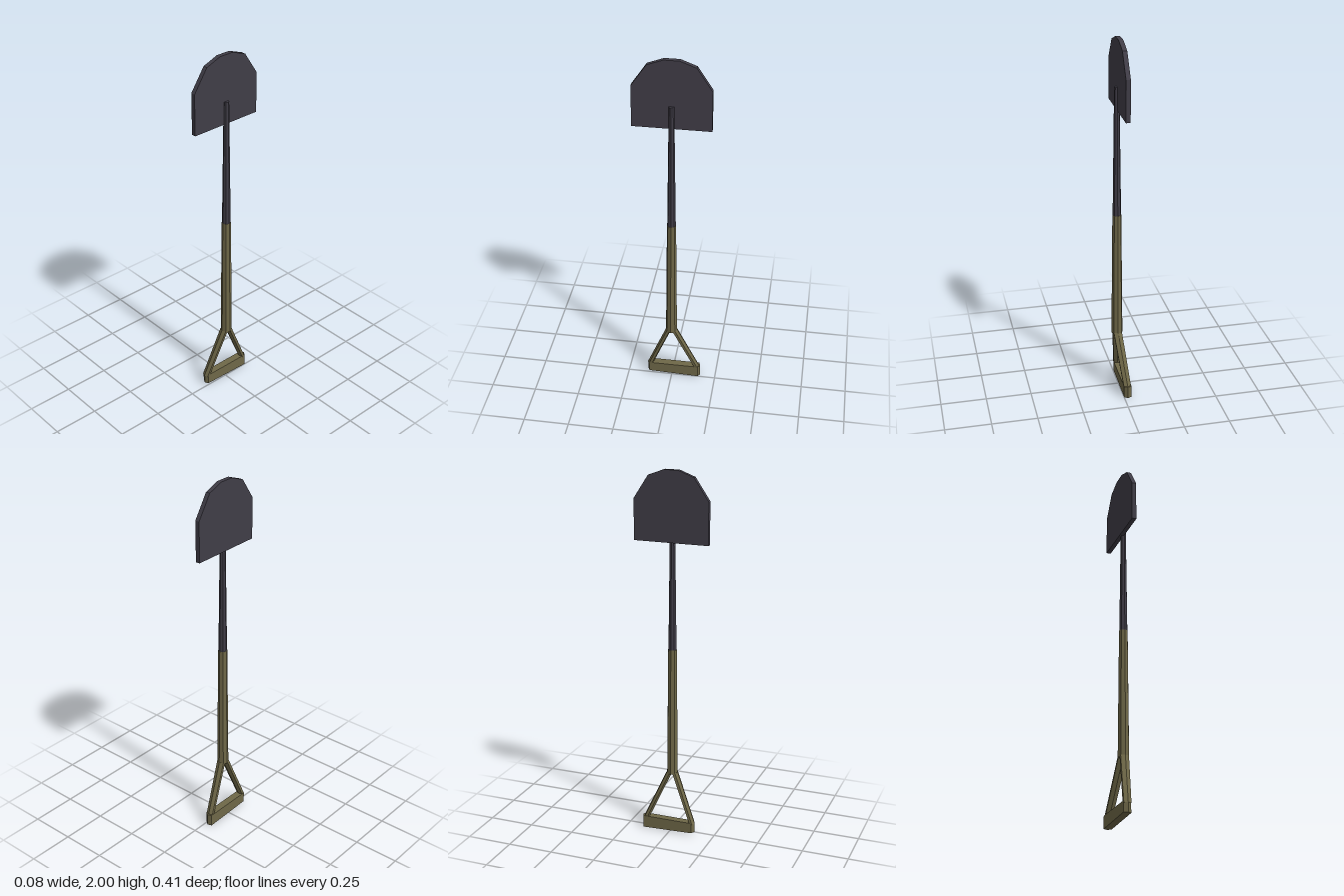
import * as THREE from 'three';

const wood = new THREE.MeshStandardMaterial({ color: 0x6f6848, flatShading: true });
const metal = new THREE.MeshStandardMaterial({ color: 0x403d47, flatShading: true });
const AXIS_X = 0.008; // the shaft sits slightly off centre

function part(name, geometry, material) {
  const mesh = new THREE.Mesh(geometry, material);
  mesh.name = name;
  return mesh;
}

// Tapered eight-sided pole between two heights
function pole(name, y0, y1, r0, r1, material) {
  const g = new THREE.CylinderGeometry(r1, r0, y1 - y0, 8);
  g.translate(AXIS_X, (y0 + y1) / 2, 0);
  return part(name, g, material);
}

function extrude(points, depth) {
  const shape = new THREE.Shape(points.map(([x, y]) => new THREE.Vector2(x, y)));
  return new THREE.ExtrudeGeometry(shape, { depth, bevelEnabled: false });
}

// Slanted six-sided bar whose horizontal end rings are placed and sized separately
function arm(name, bottom, top) {
  const g = new THREE.CylinderGeometry(1, 1, 1, 6);
  const p = g.attributes.position;
  for (let i = 0; i < p.count; i++) {
    const e = p.getY(i) > 0 ? top : bottom;
    p.setXYZ(i, e.x + p.getX(i) * e.rx, e.y, e.z + p.getZ(i) * e.rz);
  }
  g.computeVertexNormals();
  return part(name, g, wood);
}

export function createModel() {
  const model = new THREE.Group();
  model.name = 'shovel';

  // Blade: flat plate with a faceted rounded tip
  const blade = extrude([
    [-0.205, 1.625], [0.205, 1.625], [0.205, 1.845], [0.125, 1.968],
    [0.04, 2], [-0.04, 2], [-0.125, 1.968], [-0.205, 1.85],
  ], 0.024);
  blade.rotateY(Math.PI / 2).translate(-0.017, 0, 0);
  model.add(part('blade', blade, metal));

  // Shaft: metal socket above a wooden pole
  model.add(pole('metalSocket', 1.04, 1.75, 0.023, 0.014, metal));
  model.add(pole('woodenShaft', 0.335, 1.045, 0.031, 0.0245, wood));

  // Forked handle, leaning back towards the grip
  const handle = new THREE.Group();
  handle.name = 'handle';
  for (const [name, side, z] of [['leftArm', 1, 0.126], ['rightArm', -1, 0.142]]) {
    handle.add(arm(name,
      { x: -0.02, y: 0.06, z: side * z, rx: 0.023, rz: 0.0165 },
      { x: 0.007, y: 0.342, z: side * 0.015, rx: 0.026, rz: 0.016 }));
  }

  // Cross grip: bar with chamfered ends
  const grip = extrude([
    [-0.041, -0.129], [-0.018, -0.14], [0, -0.13],
    [0, 0.15], [-0.018, 0.163], [-0.041, 0.155],
  ], 0.065);
  grip.rotateX(-Math.PI / 2).translate(0, 0.004, 0);
  const p = grip.attributes.position;
  for (let i = 0; i < p.count; i++) {
    // underside rises a little towards one end
    if (p.getY(i) < 0.03) p.setY(i, 0.006 + p.getZ(i) * 0.035);
  }
  grip.computeVertexNormals();
  handle.add(part('grip', grip, wood));
  model.add(handle);

  return model;
}
